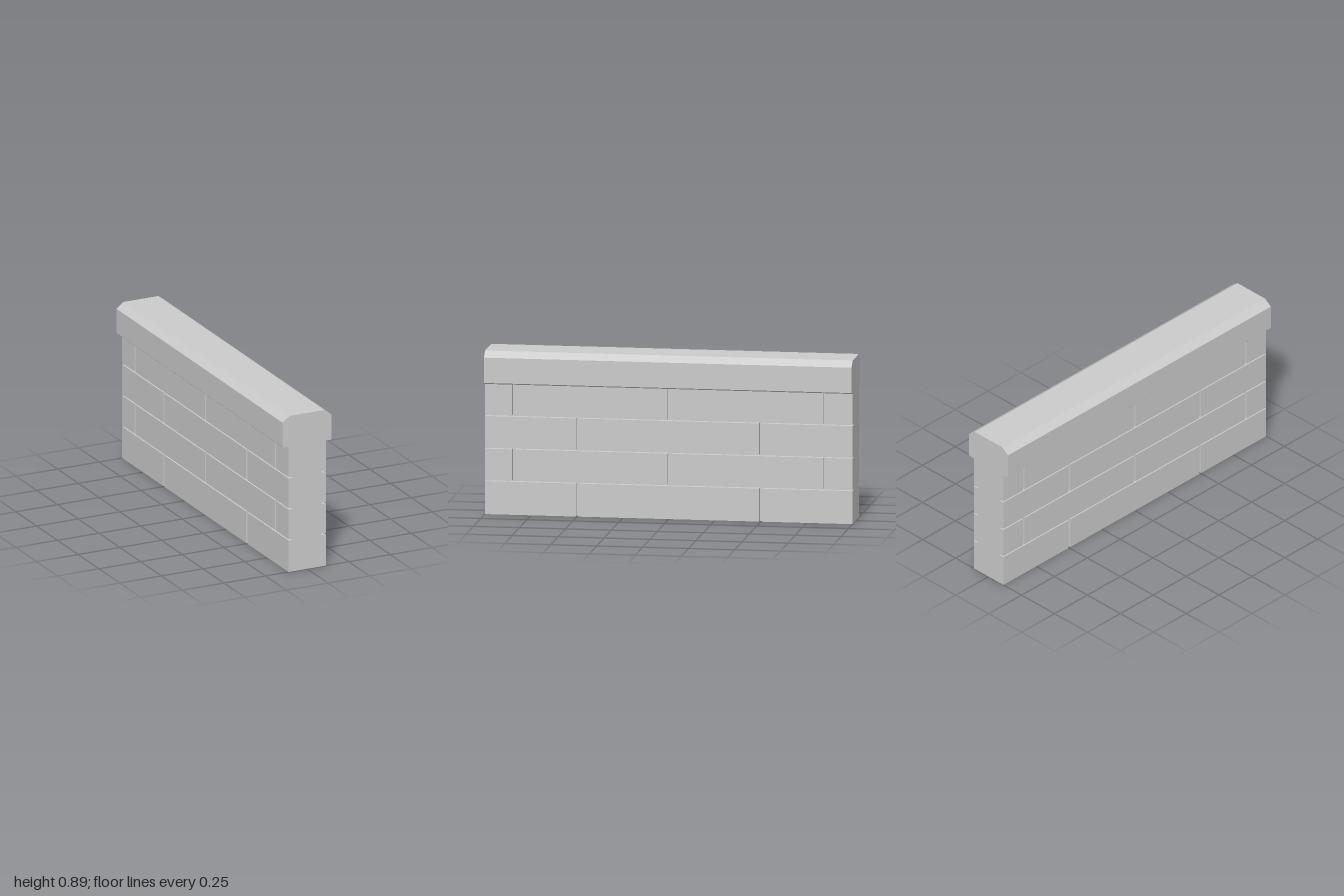
import * as THREE from 'three';

const HALF_LENGTH = 1;
const HALF_WIDTH = 0.112;  // brick face
const HALF_CORE = 0.085;   // bottom of the joints
const JOINT = 0.014;       // width of the upright joints

const material = new THREE.MeshStandardMaterial({ color: 0xcccccc, flatShading: true });

function addMesh(group, name, geometry) {
  const mesh = new THREE.Mesh(geometry, material);
  mesh.name = name;
  group.add(mesh);
  return mesh;
}

// One course of bricks: a plan outline notched at every upright joint, extruded upwards
function courseGeometry(joints, height) {
  const side = [[HALF_WIDTH, -HALF_LENGTH]];
  for (const z of joints) {
    const a = z - JOINT / 2, b = z + JOINT / 2;
    side.push([HALF_WIDTH, a], [HALF_CORE, a], [HALF_CORE, b], [HALF_WIDTH, b]);
  }
  side.push([HALF_WIDTH, HALF_LENGTH]);
  const mirrored = side.map(([x, z]) => [-x, z]).reverse();
  const shape = new THREE.Shape([...side, ...mirrored].map(([x, z]) => new THREE.Vector2(x, z)));
  const geometry = new THREE.ExtrudeGeometry(shape, { depth: height, bevelEnabled: false });
  return geometry.rotateX(-Math.PI / 2);
}

export function createModel() {
  const wall = new THREE.Group();
  wall.name = 'brickWall';

  // Brick courses in running bond
  const courses = [[0, 0.18], [0.187, 0.357], [0.364, 0.535], [0.542, 0.715]];
  const bonds = [[-0.498, 0.498], [-0.845, 0, 0.845]];
  courses.forEach(([bottom, top], i) => {
    addMesh(wall, `brickCourse${i + 1}`, courseGeometry(bonds[i % 2], top - bottom)).position.y = bottom;

    // Recessed mortar bed above the course
    if (i < courses.length - 1) {
      const next = courses[i + 1][0];
      const bed = new THREE.BoxGeometry(HALF_CORE * 2, next - top, HALF_LENGTH * 2);
      addMesh(wall, `mortarBed${i + 1}`, bed).position.y = (top + next) / 2;
    }
  });

  // Coping with chamfered top edges and slightly eased lower edges
  const half = [[0.141, 0.715], [0.147, 0.721], [0.147, 0.859], [0.105, 0.891]];
  const outline = [...half, ...half.map(([x, y]) => [-x, y]).reverse()];
  const profile = new THREE.Shape(outline.map(([x, y]) => new THREE.Vector2(x, y)));
  const coping = new THREE.ExtrudeGeometry(profile, { depth: HALF_LENGTH * 2, bevelEnabled: false });
  addMesh(wall, 'coping', coping.translate(0, 0, -HALF_LENGTH));

  return wall;
}
